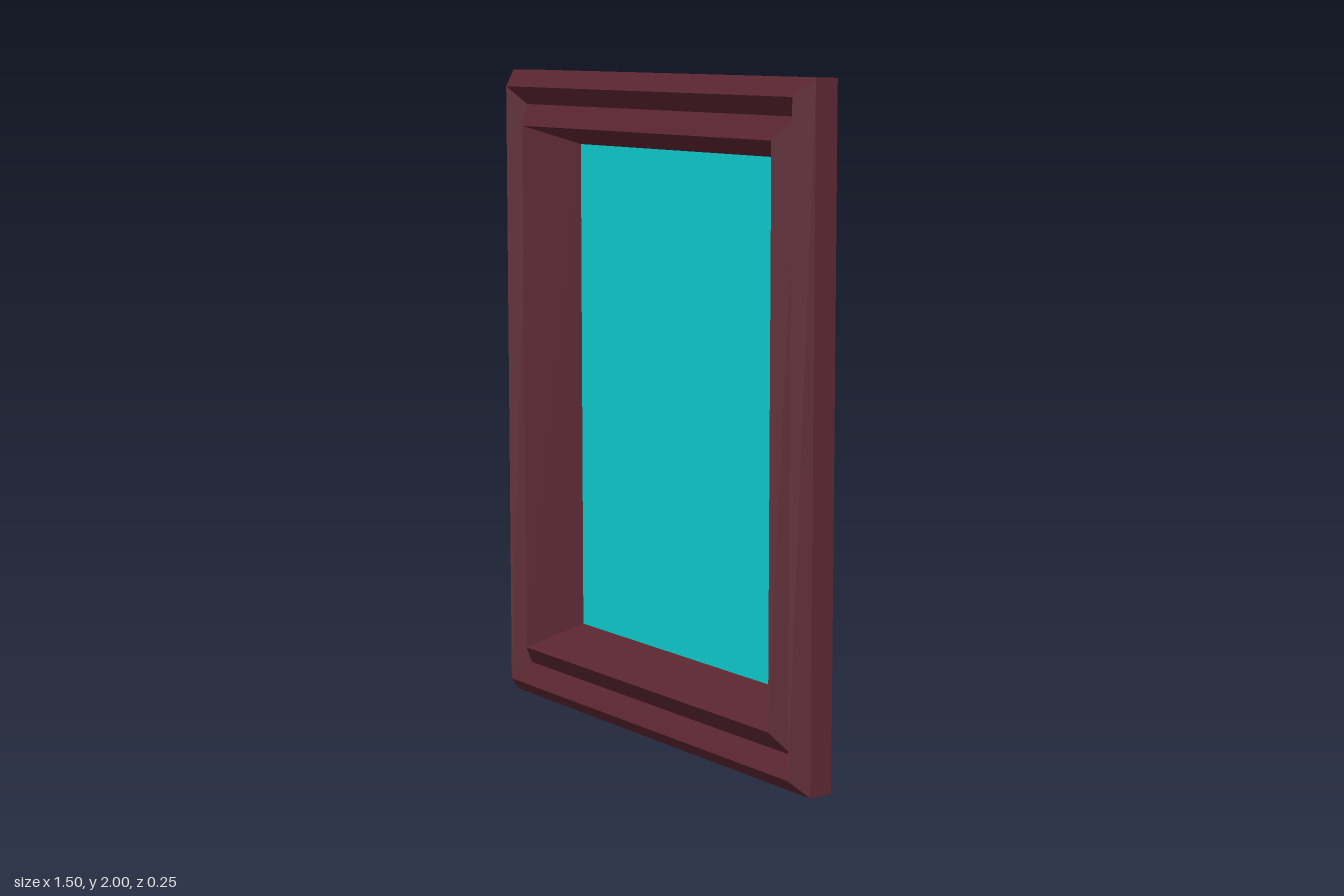
import * as THREE from 'three';

const HALF_W = 0.75, HALF_H = 1;

// Moulding cross-section: [fraction inset from the outer edge, z], back to front and round again
const PROFILE = [
  [0.23, -0.127],  // back inner edge
  [0, 0],          // outer edge, back
  [0, 0.076],      // outer edge, front
  [0.05, 0.127],   // outer ridge
  [0.105, 0.076],  // groove
  [0.17, 0.127],   // inner ridge
  [0.23, -0.062],  // pane seat
  [0.23, -0.127],
];

export function createModel() {
  const wood = new THREE.MeshStandardMaterial({ color: 0x5c2631 });
  wood.name = 'darkRedWood';
  const glass = new THREE.MeshStandardMaterial({ color: 0x10dcde, side: THREE.DoubleSide });
  glass.name = 'turquoiseGlass';

  const model = new THREE.Group();
  model.name = 'framedPane';

  // Frame: four-sided lathe turned to face +z, giving mitred corners
  const points = PROFILE.map(([inset, z]) => new THREE.Vector2((1 - inset) * Math.SQRT2, z));
  const frameGeometry = new THREE.LatheGeometry(points, 4, Math.PI / 4)
    .rotateX(Math.PI / 2)
    .scale(HALF_W, HALF_H, 1)
    .toNonIndexed();
  frameGeometry.computeVertexNormals();
  const frame = new THREE.Mesh(frameGeometry, wood);
  frame.name = 'frame';
  frame.position.y = HALF_H;
  model.add(frame);

  // Pane: thin sheet set at the foot of the inner slope
  const pane = new THREE.Mesh(new THREE.PlaneGeometry(2 * HALF_W * 0.77, 2 * HALF_H * 0.77), glass);
  pane.name = 'pane';
  pane.position.set(0, HALF_H, -0.062);
  model.add(pane);

  return model;
}
